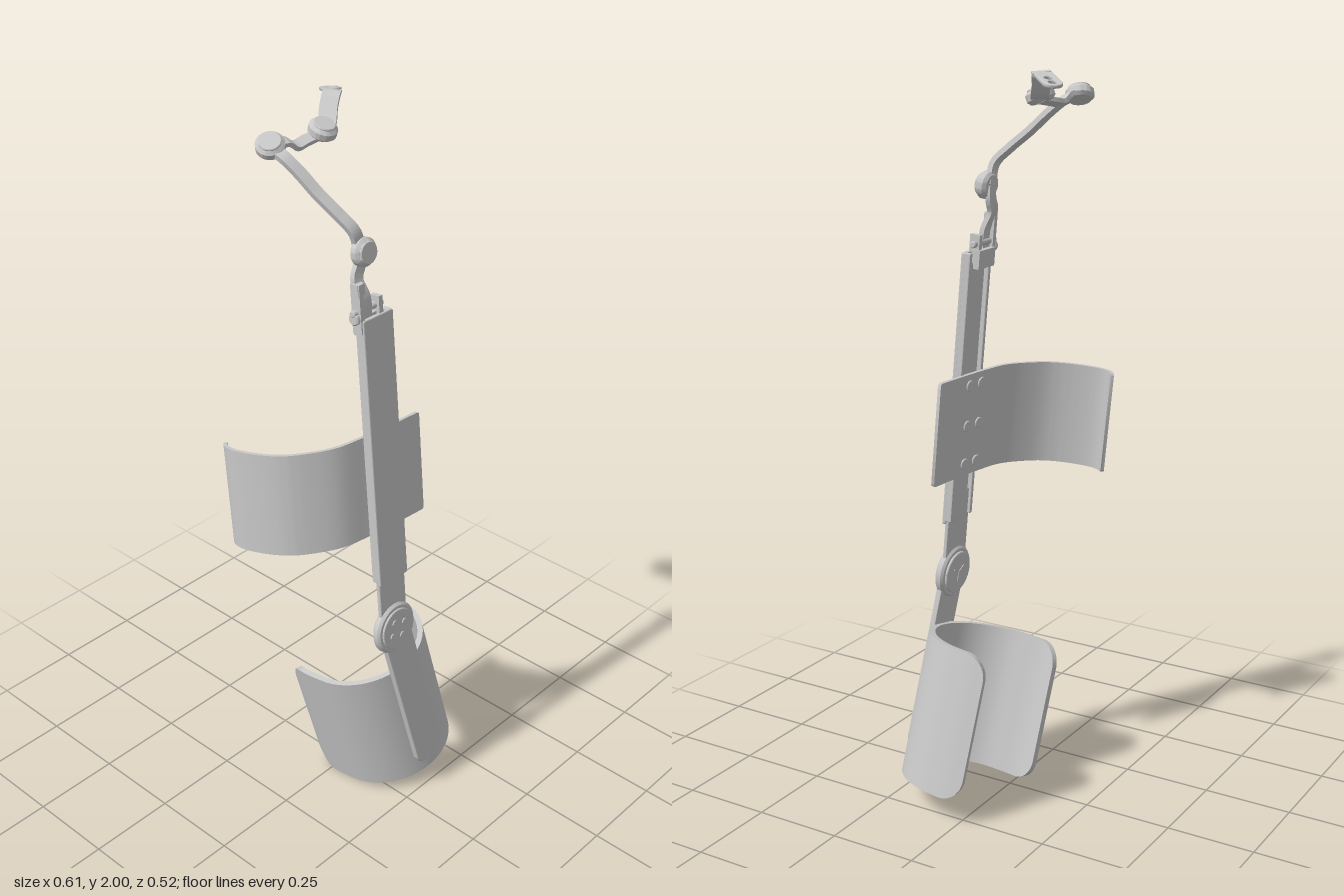
import * as THREE from 'three';
import { mergeVertices, toCreasedNormals } from 'three/addons/utils/BufferGeometryUtils.js';

const V = (x, y, z) => new THREE.Vector3(x, y, z);
const grey = new THREE.MeshStandardMaterial({ color: 0xc8c8c8 });
grey.name = 'satin grey';

function add(parent, name, geometry, x = 0, y = 0, z = 0) {
  const mesh = new THREE.Mesh(geometry, grey);
  mesh.name = name;
  mesh.position.set(x, y, z);
  parent.add(mesh);
  return mesh;
}

// Closed solid through four-cornered sections, faced outward by its signed volume
function loft(sections) {
  const tris = [];
  const quad = (a, b, c, d) => tris.push([a, b, c], [a, c, d]);
  for (let i = 0; i < sections.length - 1; i++) {
    const p = sections[i], q = sections[i + 1];
    for (let k = 0; k < 4; k++) quad(p[k], p[(k + 1) % 4], q[(k + 1) % 4], q[k]);
  }
  const first = sections[0], last = sections[sections.length - 1];
  quad(first[3], first[2], first[1], first[0]);
  quad(...last);
  const volume = tris.reduce((s, [a, b, c]) => s + a.dot(b.clone().cross(c)), 0);
  if (volume < 0) tris.forEach(t => t.reverse());
  const g = new THREE.BufferGeometry().setFromPoints(tris.flat());
  return toCreasedNormals(mergeVertices(g, 1e-5), 0.7);
}

// Curved shell: a plan path of [x, z] points, raised from bottom to top, with rounded end corners
function shell(points, bottom, top, thickness, corner) {
  const curve = new THREE.CatmullRomCurve3(points.map(([x, z]) => V(x, 0, z)), false, 'centripetal');
  const n = 100, length = curve.getLength(), sections = [];
  for (let i = 0; i <= n; i++) {
    const u = 0.5 - 0.5 * Math.cos(Math.PI * i / n);
    const p = curve.getPointAt(u), t = curve.getTangentAt(u);
    const inner = p.clone().add(V(-t.z, 0, t.x).multiplyScalar(thickness));
    const d = Math.min(Math.min(u, 1 - u) * length, corner);
    const cut = corner - Math.sqrt(Math.max(0, corner ** 2 - (corner - d) ** 2));
    const hi = top - cut, lo = bottom + cut;
    sections.push([V(p.x, hi, p.z), V(p.x, lo, p.z), V(inner.x, lo, inner.z), V(inner.x, hi, inner.z)]);
  }
  return loft(sections);
}

// Bent flat strap along a path, its width lying along the given direction
function strap(points, across, width, thickness) {
  const curve = new THREE.CatmullRomCurve3(points.map(p => V(...p)));
  const sections = [];
  for (let i = 0; i <= 32; i++) {
    const p = curve.getPointAt(i / 32), t = curve.getTangentAt(i / 32);
    const w = V(...across).addScaledVector(t, -V(...across).dot(t)).normalize();
    const nrm = t.clone().cross(w);
    sections.push([[1, 1], [-1, 1], [-1, -1], [1, -1]].map(([a, b]) =>
      p.clone().addScaledVector(w, a * width / 2).addScaledVector(nrm, b * thickness / 2)));
  }
  return loft(sections);
}

// Disc with softened rims, centred on its axis
function disc(parent, name, r, h, position, axis) {
  const e = Math.min(r, h) * 0.25;
  const profile = [[0, -h / 2], [r - e, -h / 2], [r, -h / 2 + e], [r, h / 2 - e], [r - e, h / 2], [0, h / 2]];
  const g = toCreasedNormals(new THREE.LatheGeometry(profile.map(p => new THREE.Vector2(...p)), 40), 0.6);
  const mesh = add(parent, name, g, ...position);
  mesh.quaternion.setFromUnitVectors(V(0, 1, 0), V(...axis).normalize());
  return mesh;
}

// Flat plate with rounded corners, extruded along z
function plate(x0, x1, y0, y1, r, depth, holes = []) {
  const s = new THREE.Shape();
  s.moveTo(x0 + r, y0);
  s.lineTo(x1 - r, y0);
  s.absarc(x1 - r, y0 + r, r, -Math.PI / 2, 0);
  s.lineTo(x1, y1 - r);
  s.absarc(x1 - r, y1 - r, r, 0, Math.PI / 2);
  s.lineTo(x0 + r, y1);
  s.absarc(x0 + r, y1 - r, r, Math.PI / 2, Math.PI);
  s.lineTo(x0, y0 + r);
  s.absarc(x0 + r, y0 + r, r, Math.PI, Math.PI * 1.5);
  for (const [x, y, hr] of holes) s.holes.push(new THREE.Path().absarc(x, y, hr, 0, Math.PI * 2, true));
  const b = 0.003;
  const g = new THREE.ExtrudeGeometry(s, {
    depth: depth - 2 * b, bevelSize: b, bevelOffset: -b, bevelThickness: b, bevelSegments: 2, curveSegments: 12,
  });
  return g.translate(0, 0, b);
}

function createModel() {
  const model = new THREE.Group();
  model.name = 'armBrace';
  const section = (name, rz) => {
    const g = new THREE.Group();
    g.name = name;
    g.position.set(-0.012, 0.6, 0.19);
    g.rotation.set(-0.102, 0, rz);
    model.add(g);
    return g;
  };
  const upper = section('upperSection', -0.014), lower = section('lowerSection', 0.215);

  // Hub with screw heads on both faces
  disc(upper, 'hub', 0.075, 0.026, [0, 0, 0.006], [0, 0, 1]);
  disc(upper, 'hubCap', 0.06, 0.008, [0, 0, 0.02], [0, 0, 1]);
  disc(upper, 'hubBackCap', 0.06, 0.008, [0, 0, -0.01], [0, 0, 1]);
  for (let i = 0; i < 4; i++) {
    const a = 0.5 + i * Math.PI / 2, x = 0.028 * Math.cos(a), y = 0.028 * Math.sin(a);
    disc(upper, 'hubScrew', 0.009, 0.006, [x, y, 0.024], [0, 0, 1]);
  }
  for (let i = 0; i < 3; i++) {
    const spoke = add(upper, 'hubBackSpoke', new THREE.BoxGeometry(0.005, 0.026, 0.004), 0, 0, -0.014);
    spoke.rotation.z = i * Math.PI * 2 / 3 + Math.PI;
    spoke.translateY(0.015);
  }

  // Upper bar: front cover, side flanges and the sliding tongue behind
  add(upper, 'upperBarCover', plate(-0.055, 0.055, 0.155, 0.925, 0.006, 0.012), 0, 0, 0.007);
  for (const s of [-1, 1])
    add(upper, 'upperBarFlange', plate(-0.006, 0.006, 0.165, 0.925, 0.003, 0.022), s * 0.049, 0, -0.01);
  add(upper, 'hubStrap', plate(-0.051, 0.051, 0, 0.24, 0.01, 0.012), 0, 0, -0.001);
  add(upper, 'slidingTongue', plate(-0.034, 0.034, 0.16, 0.9, 0.012, 0.011), 0, 0, -0.003);

  // Upper arm cuff and its rivets
  const upperPath = [[0.155, -0.001], [0.05, -0.008], [-0.05, -0.018], [-0.13, -0.033], [-0.195, -0.07],
    [-0.245, -0.115], [-0.28, -0.18], [-0.296, -0.25], [-0.288, -0.285], [-0.273, -0.3]];
  add(upper, 'upperCuff', shell(upperPath, 0.3, 0.592, 0.01, 0.008));
  for (const y of [0.335, 0.445, 0.56]) for (const x of [-0.025, 0.025])
    disc(upper, 'upperCuffRivet', 0.015, 0.006, [x, y, -0.024 + x * 0.1], [0.1, 0, -1]);

  // Lower bar, forearm cuff and its rivets
  add(lower, 'lowerBar', plate(-0.053, 0.053, -0.515, 0.02, 0.035, 0.018), 0, 0, -0.002);
  const lowerPath = [[0.2, -0.262], [0.204, -0.22]];
  for (let i = 0; i <= 12; i++) {
    const a = Math.PI * i / 12;
    lowerPath.push([0.019 + 0.184 * Math.cos(a), -0.18 + 0.184 * Math.sin(a)]);
  }
  lowerPath.push([-0.165, -0.25], [-0.148, -0.303]);
  add(lower, 'lowerCuff', shell(lowerPath, -0.562, -0.152, 0.016, 0.065));
  for (const y of [-0.24, -0.34, -0.44]) for (const x of [-0.03, 0.035])
    disc(lower, 'lowerCuffRivet', 0.015, 0.012, [x, y, -0.02], [(x - 0.019) * 5, 0, 1]);

  // Fork and pin at the head of the upper bar
  const box = (name, w, h, d, x, y, z) => add(upper, name, new THREE.BoxGeometry(w, h, d), x, y, z);
  box('headBlock', 0.078, 0.05, 0.026, -0.012, 0.905, -0.008);
  box('forkLeftPost', 0.014, 0.13, 0.03, -0.052, 0.955, 0);
  box('forkRightPost', 0.014, 0.07, 0.03, 0.016, 0.935, 0);
  box('forkLeftTip', 0.026, 0.03, 0.02, -0.048, 1.005, 0.002);
  disc(upper, 'forkPin', 0.009, 0.11, [-0.018, 0.945, -0.002], [1, 0, 0]);
  disc(upper, 'forkPinHead', 0.016, 0.014, [-0.064, 0.93, -0.002], [1, 0, 0]);

  // Linkage joints
  const joint = (name, p, axis, r = 0.037) => {
    disc(model, name, r, 0.032, p, axis);
    const tip = V(...p).addScaledVector(V(...axis).normalize(), 0.017);
    disc(model, name + 'Cap', r * 0.78, 0.008, tip.toArray(), axis);
  };
  joint('swivelJoint', [-0.02, 1.69, 0.082], [-0.03, 0.15, 1]);
  joint('elbowJoint', [-0.105, 1.925, -0.145], [-0.4, 0.85, 0.33]);
  joint('wristJoint', [0.05, 1.93, -0.118], [0, 0.93, 0.35]);

  // Bent straps between the joints
  add(model, 'neckStrap', strap([[-0.024, 1.5, 0.095], [-0.026, 1.57, 0.092], [-0.036, 1.62, 0.075],
    [-0.02, 1.655, 0.07], [-0.02, 1.69, 0.07]], [1, 0, 0], 0.032, 0.014));
  add(model, 'longStrap', strap([[-0.02, 1.69, 0.07], [-0.04, 1.745, 0.07], [-0.058, 1.785, 0.035],
    [-0.077, 1.83, -0.015], [-0.092, 1.875, -0.06], [-0.105, 1.908, -0.1], [-0.103, 1.92, -0.145]],
    [1, 0.25, 0], 0.03, 0.015));
  add(model, 'shortStrap', strap([[-0.1, 1.925, -0.145], [-0.06, 1.925, -0.136], [-0.035, 1.909, -0.13],
    [0, 1.912, -0.13], [0.05, 1.92, -0.122]], [0, -0.35, 0.93], 0.03, 0.012));
  add(model, 'endStrap', strap([[0.05, 1.922, -0.122], [0.085, 1.932, -0.137], [0.11, 1.962, -0.155],
    [0.135, 1.99, -0.168], [0.155, 1.988, -0.183]], [0.42, -0.1, 0.9], 0.046, 0.01));

  // Mounting tab with two holes
  const tab = add(model, 'mountingTab', plate(-0.012, 0.095, -0.025, 0.025, 0.024, 0.01,
    [[0.072, 0, 0.011], [0.042, 0, 0.011]]));
  const along = V(0.62, -0.28, -0.74).normalize();
  const side = V(0, 1, 0).cross(along).normalize();
  tab.quaternion.setFromRotationMatrix(new THREE.Matrix4().makeBasis(along, side, along.clone().cross(side)));
  tab.position.set(0.152, 1.985, -0.182);
  return model;
}

export { createModel };
